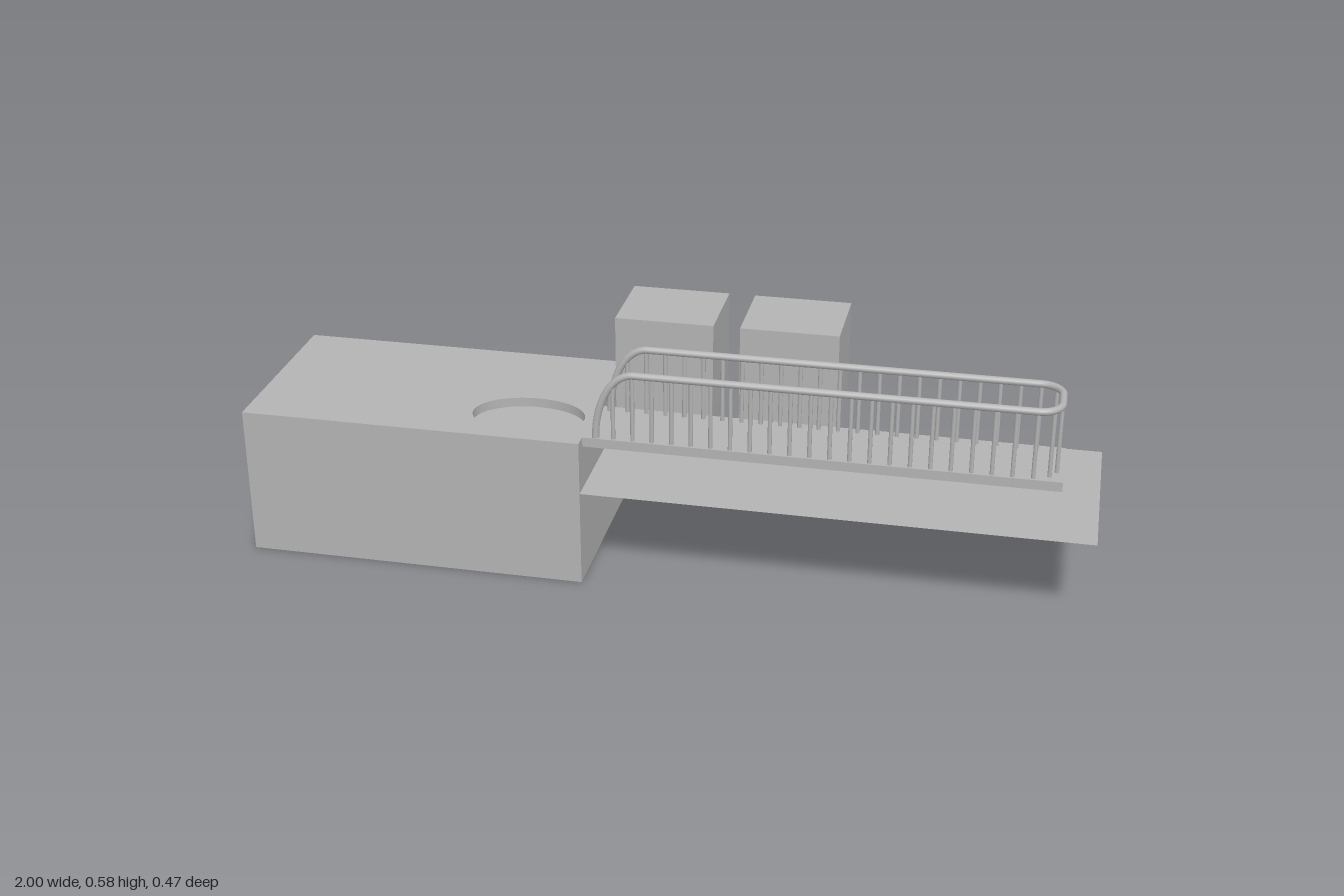
import * as THREE from 'three';

const BLOCK_TOP = 0.365, LEDGE = 0.342;   // walking level and underside of the deck
const RAIL_Y = 0.528, RAIL_R = 0.0085, POST_R = 0.005;
const Z_NEAR = 0.191, Z_FAR = 0.043, X_START = -0.15, X_END = 0.897;
const RISE = 0.09, CORNER = 0.05;

export function createModel() {
  const model = new THREE.Group();
  const grey = new THREE.MeshStandardMaterial({ color: 0xb3b3b3 });
  grey.name = 'concreteGrey';
  grey.side = THREE.DoubleSide;

  const add = (name, geometry, parent = model) => {
    const mesh = new THREE.Mesh(geometry, grey);
    mesh.name = name;
    parent.add(mesh);
    return mesh;
  };
  // Box given by its minimum and maximum corners
  const box = (name, x0, x1, y0, y1, z0, z1) =>
    add(name, new THREE.BoxGeometry(x1 - x0, y1 - y0, z1 - z0))
      .position.set((x0 + x1) / 2, (y0 + y1) / 2, (z0 + z1) / 2);

  // Main block, with an oval recess in its top layer
  box('blockBase', -1, -0.18, 0, LEDGE, -0.235, 0.235);
  const outline = new THREE.Shape([[-1, -0.235], [-0.18, -0.235], [-0.18, 0.235], [-1, 0.235]]
    .map(([x, y]) => new THREE.Vector2(x, y)));
  const oval = new THREE.Path();
  oval.absellipse(-0.333, -0.108, 0.135, 0.092, 0, Math.PI * 2, true);
  outline.holes.push(oval);
  const layer = new THREE.ExtrudeGeometry(outline,
    { depth: BLOCK_TOP - LEDGE, bevelEnabled: false, curveSegments: 48 });
  layer.rotateX(-Math.PI / 2);
  layer.translate(0, LEDGE, 0);
  add('blockTopWithRecess', layer);

  // Flat sheet reaching out from the block
  const sheet = new THREE.PlaneGeometry(1.18, 0.47);
  sheet.rotateX(-Math.PI / 2);
  add('waterSurface', sheet).position.set(0.41, 0.236, 0);

  // Deck and the two raised boxes beside it
  box('deck', -0.18, 0.913, LEDGE, BLOCK_TOP, 0.025, 0.2);
  box('boxInner', -0.15, 0.085, 0.343, 0.578, -0.218, -0.013);
  box('boxOuter', 0.148, 0.381, 0.343, 0.578, -0.218, -0.013);

  // Handrail: rises from the deck, runs out, turns around the end and returns
  const v = (x, y, z) => new THREE.Vector3(x, y, z);
  const k = 0.552;
  const height = RAIL_Y - BLOCK_TOP;
  const rise = z => [v(X_START, BLOCK_TOP, z), v(X_START, BLOCK_TOP + height * k, z),
    v(X_START + RISE * (1 - k), RAIL_Y, z), v(X_START + RISE, RAIL_Y, z)];
  const xc = X_END - CORNER, zn = Z_NEAR - CORNER, zf = Z_FAR + CORNER;
  const path = new THREE.CurvePath();
  path.add(new THREE.CubicBezierCurve3(...rise(Z_NEAR)));
  path.add(new THREE.LineCurve3(v(X_START + RISE, RAIL_Y, Z_NEAR), v(xc, RAIL_Y, Z_NEAR)));
  path.add(new THREE.CubicBezierCurve3(v(xc, RAIL_Y, Z_NEAR), v(xc + CORNER * k, RAIL_Y, Z_NEAR),
    v(X_END, RAIL_Y, zn + CORNER * k), v(X_END, RAIL_Y, zn)));
  path.add(new THREE.LineCurve3(v(X_END, RAIL_Y, zn), v(X_END, RAIL_Y, zf)));
  path.add(new THREE.CubicBezierCurve3(v(X_END, RAIL_Y, zf), v(X_END, RAIL_Y, zf - CORNER * k),
    v(xc + CORNER * k, RAIL_Y, Z_FAR), v(xc, RAIL_Y, Z_FAR)));
  path.add(new THREE.LineCurve3(v(xc, RAIL_Y, Z_FAR), v(X_START + RISE, RAIL_Y, Z_FAR)));
  path.add(new THREE.CubicBezierCurve3(...rise(Z_FAR).reverse()));
  add('handrail', new THREE.TubeGeometry(path, 320, RAIL_R, 12));

  // Balusters, cut to the height of the rail above them
  const balusters = new THREE.Group();
  balusters.name = 'balusters';
  model.add(balusters);
  const post = (x, z) => {
    const t = Math.min(1, (x - X_START) / RISE);
    const h = height * Math.sqrt(1 - (1 - t) ** 2);
    add('baluster', new THREE.CylinderGeometry(POST_R, POST_R, h, 10, 1, true), balusters)
      .position.set(x, BLOCK_TOP + h / 2, z);
  };
  const count = 22, step = 0.0455;
  for (const z of [Z_NEAR, Z_FAR])
    for (let i = 0; i < count; i++) post(xc - i * step, z);
  for (const z of [0.152, 0.117, 0.082]) post(X_END, z);
  for (const z of [zn + CORNER * 0.7, zf - CORNER * 0.7]) post(xc + CORNER * 0.7, z);

  return model;
}
